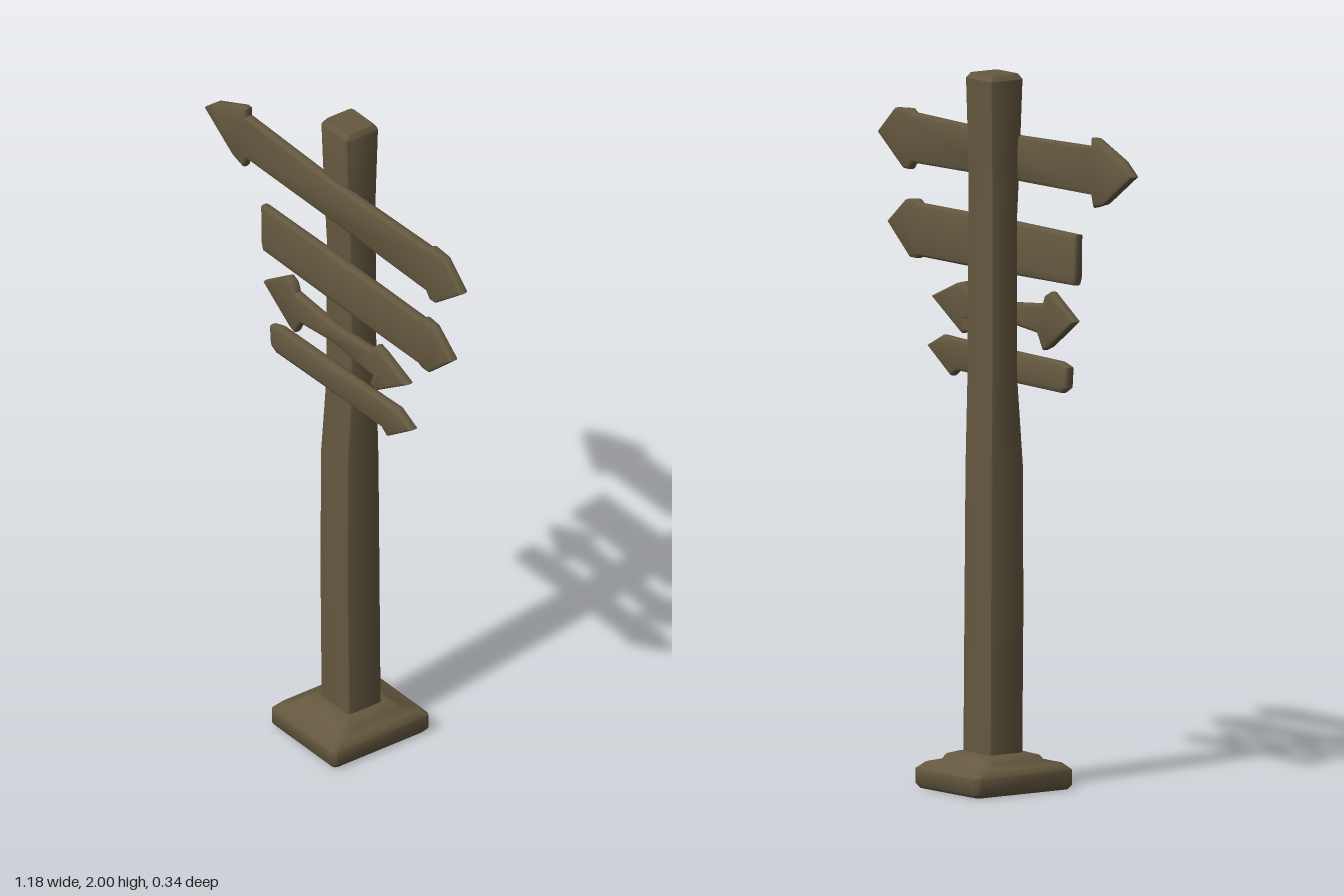
import * as THREE from 'three';
import { toCreasedNormals } from 'three/addons/utils/BufferGeometryUtils.js';

const wood = new THREE.MeshStandardMaterial({ color: 0x64583f });
wood.name = 'brown wood';

// Loft through rounded rectangles; each ring is [y, x0, x1, z0, z1, cornerRadius]
function loft(rings, crease) {
  const pos = [], index = [], steps = 2, n = 4 * (steps + 1);
  for (const [y, x0, x1, z0, z1, r] of rings) {
    const corners = [[x1 - r, z1 - r], [x0 + r, z1 - r], [x0 + r, z0 + r], [x1 - r, z0 + r]];
    corners.forEach(([cx, cz], c) => {
      for (let s = 0; s <= steps; s++) {
        const a = (c + s / steps) * Math.PI / 2;
        pos.push(cx + r * Math.cos(a), y, cz + r * Math.sin(a));
      }
    });
  }
  for (let k = 0; k < rings.length - 1; k++) {
    for (let i = 0; i < n; i++) {
      const a = k * n + i, b = k * n + (i + 1) % n;
      index.push(a, a + n, b, b, a + n, b + n);
    }
  }
  // flat caps
  const top = (rings.length - 1) * n;
  for (let i = 1; i < n - 1; i++) {
    index.push(0, i, i + 1, top, top + i + 1, top + i);
  }
  const g = new THREE.BufferGeometry();
  g.setAttribute('position', new THREE.Float32BufferAttribute(pos, 3));
  g.setIndex(index);
  return toCreasedNormals(g, crease);
}

// Board cut from an outline, with softened edges
function board(outline) {
  const bevel = 0.009;
  const shape = new THREE.Shape(outline.map(([x, y]) => new THREE.Vector2(x, y)));
  const g = new THREE.ExtrudeGeometry(shape, {
    depth: 0.012, bevelEnabled: true, bevelThickness: bevel,
    bevelSize: bevel, bevelOffset: -bevel, bevelSegments: 2,
  });
  g.translate(0, 0, 0.042);
  return toCreasedNormals(g, 0.8);
}

// Sign outlines, clockwise from the left end
const signs = {
  topDoubleArrow: [
    [-0.59, 1.77], [-0.54, 1.81], [-0.42, 1.86], [-0.4, 1.86], [-0.4, 1.835],
    [0, 1.825], [0.43, 1.835], [0.445, 1.845], [0.51, 1.84], [0.59, 1.765],
    [0.47, 1.675], [0.445, 1.675], [0.43, 1.695], [0, 1.7], [-0.4, 1.7],
    [-0.41, 1.665], [-0.46, 1.68],
  ],
  wideArrow: [
    [-0.33, 1.58], [0, 1.585], [0.4, 1.585], [0.415, 1.595], [0.46, 1.59],
    [0.545, 1.52], [0.44, 1.43], [0.41, 1.43], [0.395, 1.437], [0, 1.435],
    [-0.32, 1.437], [-0.328, 1.46],
  ],
  smallDoubleArrow: [
    [-0.32, 1.335], [-0.21, 1.408], [-0.185, 1.395], [-0.175, 1.37], [0, 1.355],
    [0.17, 1.365], [0.195, 1.39], [0.225, 1.383], [0.34, 1.335], [0.2, 1.245],
    [0.17, 1.255], [0.185, 1.287], [0, 1.3], [-0.15, 1.285], [-0.175, 1.24],
    [-0.2, 1.25],
  ],
  narrowArrow: [
    [-0.29, 1.205], [-0.25, 1.217], [0, 1.222], [0.22, 1.227], [0.29, 1.23],
    [0.36, 1.195], [0.25, 1.12], [0.225, 1.138], [0, 1.135], [-0.26, 1.13],
    [-0.285, 1.145],
  ],
};

export function createModel() {
  const group = new THREE.Group();
  group.name = 'signpost';
  const add = (name, geometry) => {
    const mesh = new THREE.Mesh(geometry, wood);
    mesh.name = name;
    group.add(mesh);
  };

  // Stepped foot with rounded edges
  add('base', loft([
    [0, -0.14, 0.135, -0.16, 0.155, 0.012],
    [0.012, -0.15, 0.145, -0.17, 0.165, 0.015],
    [0.055, -0.15, 0.145, -0.17, 0.165, 0.015],
    [0.073, -0.135, 0.13, -0.15, 0.147, 0.02],
    [0.08, -0.108, 0.108, -0.11, 0.105, 0.02],
    [0.095, -0.1, 0.1, -0.1, 0.095, 0.02],
    [0.103, -0.07, 0.075, -0.075, 0.07, 0.015],
  ], 0.9));

  // Slightly uneven post, cut back behind the signs
  add('post', loft([
    [0.06, -0.063, 0.07, -0.06, 0.056, 0.012],
    [0.5, -0.066, 0.065, -0.06, 0.058, 0.012],
    [0.9, -0.068, 0.06, -0.06, 0.055, 0.012],
    [1.15, -0.067, 0.055, -0.057, 0.036, 0.012],
    [1.6, -0.065, 0.054, -0.055, 0.037, 0.012],
    [1.75, -0.064, 0.053, -0.055, 0.046, 0.012],
    [1.985, -0.07, 0.055, -0.062, 0.052, 0.012],
    [2, -0.06, 0.045, -0.052, 0.043, 0.01],
  ], 0.6));

  for (const [name, outline] of Object.entries(signs)) add(name, board(outline));
  return group;
}
